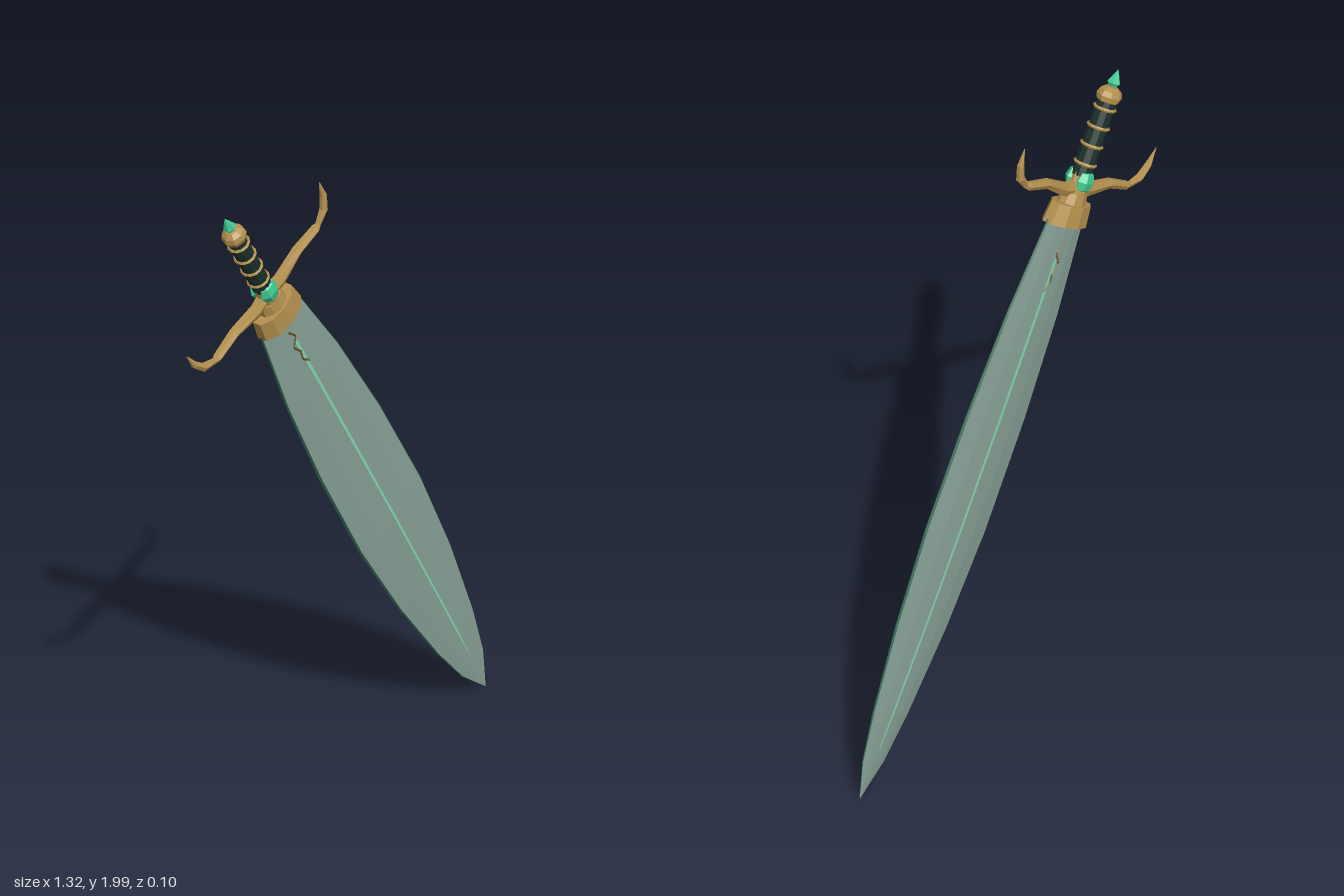
import * as THREE from 'three';

const mat = (name, color, side = THREE.FrontSide) => {
  const m = new THREE.MeshStandardMaterial({ color, side });
  m.name = name;
  return m;
};

// Faceted version of any geometry
function facet(geo) {
  const g = geo.index ? geo.toNonIndexed() : geo;
  g.computeVertexNormals();
  return g;
}

// Skin over rings of equal length; keep(j) picks which columns are built
function loft(rings, keep = () => true) {
  const pos = [];
  const n = rings[0].length;
  for (let i = 0; i < rings.length - 1; i++) {
    for (let j = 0; j < n; j++) {
      if (!keep(j)) continue;
      const k = (j + 1) % n;
      const a = rings[i][j], b = rings[i][k], c = rings[i + 1][k], d = rings[i + 1][j];
      for (const p of [a, b, c, a, c, d]) pos.push(p.x, p.y, p.z);
    }
  }
  const g = new THREE.BufferGeometry();
  g.setAttribute('position', new THREE.Float32BufferAttribute(pos, 3));
  g.computeVertexNormals();
  return g;
}

export function createModel() {
  const blade = mat('grey green steel', 0x88a197);
  const rim = mat('dark green edge', 0x2c614e);
  const glow = mat('pale green glow', 0x86d6b2);
  const gold = mat('gold', 0xb4904e);
  const bronze = mat('dark bronze', 0x6b5a30);
  const leather = mat('dark grip', 0x1c302a);
  const gem = mat('emerald', 0x40c992);

  // Sword is built upright with its tip at the origin, then tilted
  const sword = new THREE.Group();
  sword.name = 'sword';
  const add = (name, geo, material, y = 0, z = 0) => {
    const m = new THREE.Mesh(geo, material);
    m.name = name;
    m.position.set(0, y, z);
    sword.add(m);
    return m;
  };

  // Blade stations: height, half width, half thickness
  const stations = [
    [0, 0.001, 0.001], [0.115, 0.054, 0.006], [0.27, 0.09, 0.011], [0.54, 0.13, 0.016],
    [0.845, 0.153, 0.019], [1.2, 0.151, 0.019], [1.53, 0.13, 0.017], [1.83, 0.09, 0.014],
  ];
  const section = [[0, 1], [0.5, 0.82], [0.965, 0.3], [1, 0], [0.965, -0.3], [0.5, -0.82],
    [0, -1], [-0.5, -0.82], [-0.965, -0.3], [-1, 0], [-0.965, 0.3], [-0.5, 0.82]];
  const rings = stations.map(([y, w, t]) => section.map(([x, z]) => new THREE.Vector3(x * w, y, z * t)));
  const isRim = (j) => j % 6 === 2 || j % 6 === 3;
  add('blade', loft(rings, (j) => !isRim(j)), blade);
  add('bladeEdge', loft(rings, isRim), rim);

  // Half thickness of the blade at a given height
  const thickness = (y) => {
    let i = 1;
    while (i < stations.length - 1 && stations[i][0] < y) i++;
    const [y0, , t0] = stations[i - 1], [y1, , t1] = stations[i];
    return t0 + (t1 - t0) * (y - y0) / (y1 - y0);
  };

  // Glowing line down the middle of both faces
  const lineHeights = [0.16, 0.27, 0.54, 0.845, 1.2, 1.53, 1.71];
  const lineRings = lineHeights.map((y, i) => {
    const w = i === 0 ? 0.001 : 0.003 + 0.0025 * y / 1.7, t = thickness(y) + 0.001;
    return [[-w, t], [w, t], [w, -t], [-w, -t]].map(([x, z]) => new THREE.Vector3(x, y, z));
  });
  add('glowLine', loft(lineRings), glow);

  // Zigzag inlay near the guard on both faces
  const zigzag = [[-0.01, 1.762], [0.008, 1.727], [-0.018, 1.698], [-0.003, 1.664], [-0.01, 1.632], [0.008, 1.608]];
  for (const s of [1, -1]) {
    const path = new THREE.CurvePath();
    const pts = zigzag.map(([x, y]) => new THREE.Vector3(x, y, s * (thickness(y) + 0.001)));
    for (let i = 1; i < pts.length; i++) path.add(new THREE.LineCurve3(pts[i - 1], pts[i]));
    add('inlay', facet(new THREE.TubeGeometry(path, 20, 0.0035, 4)), bronze);
  }

  // Collar and step above the blade
  const collar = add('collar', facet(new THREE.CylinderGeometry(0.083, 0.093, 0.065, 10)), gold, 1.852);
  collar.scale.z = 0.56;
  const step = add('collarStep', facet(new THREE.CylinderGeometry(0.045, 0.052, 0.035, 10)), gold, 1.9);
  step.scale.z = 0.75;
  add('guardHub', facet(new THREE.CylinderGeometry(0.03, 0.034, 0.07, 8)), gold, 1.945);

  // Cross guard: x, y, half height, half depth along one arm, mirrored to the other
  const arm = [
    [0.06, 1.925, 0.02, 0.018], [0.16, 1.943, 0.014, 0.017], [0.25, 1.936, 0.012, 0.015],
    [0.265, 1.938, 0.009, 0.008], [0.306, 1.96, 0.012, 0.013], [0.328, 2.0, 0.01, 0.011], [0.338, 2.054, 0.001, 0.001],
  ];
  const guard = [...arm.map(([x, ...r]) => [-x, ...r]).reverse(), [0, 1.932, 0.025, 0.02], ...arm];
  const guardRings = guard.map(([x, y, h, d], i) => {
    const p = guard[Math.max(i - 1, 0)], q = guard[Math.min(i + 1, guard.length - 1)];
    const t = new THREE.Vector2(q[0] - p[0], q[1] - p[1]).normalize();
    return Array.from({ length: 6 }, (_, j) => {
      const a = j * Math.PI / 3, s = Math.sin(a) * h * 1.15;
      return new THREE.Vector3(x + t.y * s, y - t.x * s, Math.cos(a) * d);
    });
  });
  add('crossGuard', loft(guardRings), gold);

  // Gems on both sides of the guard
  for (const s of [1, -1]) {
    const g = add('guardGem', facet(new THREE.SphereGeometry(0.036, 6, 4)), gem, 1.957, s * 0.02);
    g.scale.z = 0.65;
  }

  // Grip with gold rings
  add('grip', facet(new THREE.CylinderGeometry(0.029, 0.031, 0.24, 10)), leather, 2.09);
  for (let i = 0; i < 4; i++) {
    const ring = add('gripRing', facet(new THREE.TorusGeometry(0.031, 0.0055, 5, 12)), gold, 2.008 + i * 0.058);
    ring.rotation.x = Math.PI / 2;
  }

  // Pommel and its crowning gem
  const pommel = add('pommel', facet(new THREE.SphereGeometry(0.039, 8, 6)), gold, 2.221);
  pommel.scale.y = 0.8;
  const crown = [[0.001, 2.235], [0.021, 2.262], [0.001, 2.302]].map(([r, y]) => new THREE.Vector2(r, y));
  add('pommelGem', facet(new THREE.LatheGeometry(crown, 6)), gem);

  sword.rotation.z = Math.PI / 6;
  sword.position.set(0.66, 0.003, 0);
  const model = new THREE.Group();
  model.name = 'model';
  model.add(sword);
  return model;
}
